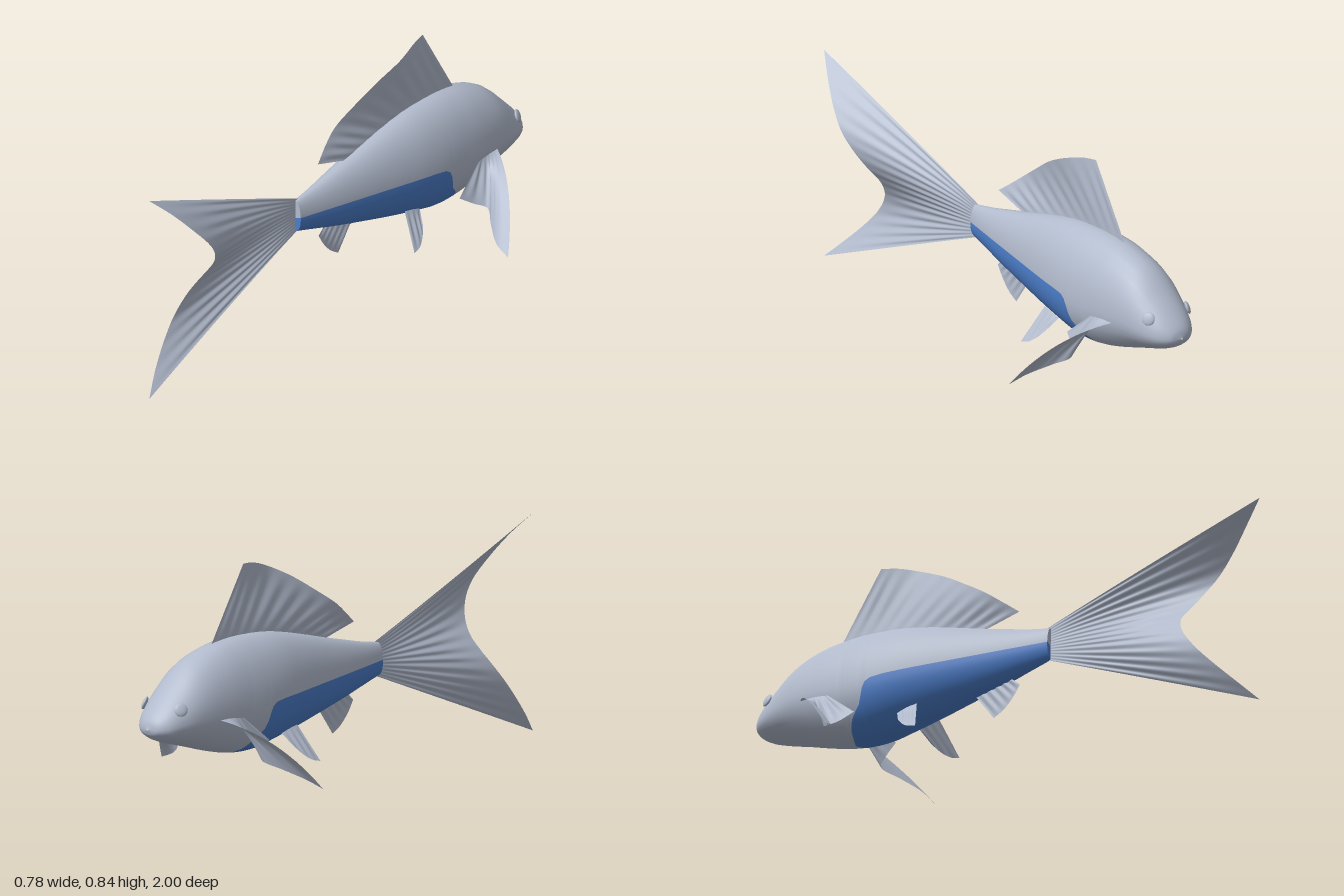
import * as THREE from 'three';

const silver = new THREE.MeshStandardMaterial({ color: 0xb2bbcd });
silver.name = 'silver grey';
const finGrey = new THREE.MeshStandardMaterial({ color: 0xb2bbcd, side: THREE.DoubleSide });
finGrey.name = 'fin grey';
const blue = new THREE.MeshStandardMaterial({ color: 0x4b7dc9 });
blue.name = 'belly blue';

const V = (x, y, z) => new THREE.Vector3(x, y, z);
const curve = pts => new THREE.CatmullRomCurve3(pts.map(p => V(...p)));

// Body stations from nose to tail: z, top, bottom, half width
const stations = [
  [-1, .322, .318, .004], [-.99, .352, .297, .042], [-.96, .39, .277, .076], [-.9, .45, .256, .104],
  [-.81, .528, .23, .124], [-.7, .571, .198, .135], [-.6, .586, .177, .138], [-.5, .587, .175, .137],
  [-.4, .58, .193, .128], [-.3, .562, .213, .112], [-.2, .538, .236, .094], [-.1, .512, .26, .076],
  [0, .488, .285, .058], [.09, .467, .31, .041], [.175, .452, .333, .025]
];
const heights = curve(stations.map(([z, t, b]) => [z, t, b]));
const widths = curve(stations.map(s => [s[3], 0, s[0]]));

// Upper edge of the blue belly along the body: z, y
const bellyEdge = [[-.62, .15], [-.57, .23], [-.53, .27], [-.518, .3], [-.505, .345], [-.48, .36],
  [-.43, .366], [-.3, .372], [.2, .392]];
function bellyHeight(z) {
  for (let i = 1; i < bellyEdge.length; i++) {
    const [z0, y0] = bellyEdge[i - 1], [z1, y1] = bellyEdge[i];
    if (z <= z1) return y0 + (y1 - y0) * (z - z0) / (z1 - z0);
  }
  return .392;
}

// Egg-shaped rings whose columns follow the colour edge
function makeBody() {
  const rows = 140, n = 28, cols = 2 * n, pos = [], upper = [], lower = [];
  const ring = (u, scale) => {
    const { x: z, y: top, z: bottom } = heights.getPoint(u);
    const w = widths.getPoint(u).x;
    const mid = bottom + (top - bottom) * .42;
    const rel = bellyHeight(z) - mid;
    const s = z < -.62 ? -1 : rel / (rel > 0 ? top - mid : mid - bottom);
    const edge = Math.asin(THREE.MathUtils.clamp(s, -.9995, .9));
    for (let j = 0; j < cols; j++) {
      const a = j < n ? edge + (Math.PI - 2 * edge) * j / n
        : Math.PI - edge + (Math.PI + 2 * edge) * (j - n) / n;
      const sy = Math.sin(a);
      pos.push(w * Math.cos(a) * scale, mid + sy * (sy > 0 ? top - mid : mid - bottom) * scale, z);
    }
    return z;
  };
  const zs = [];
  for (let i = 0; i <= rows; i++) zs.push(ring(i / rows, 1));
  // Closed ends
  zs.push(ring(1, 1), ring(1, 0));
  for (let i = 0; i < zs.length - 1; i++) {
    if (i === rows) continue;
    for (let j = 0; j < cols; j++) {
      const a = i * cols + j, b = i * cols + (j + 1) % cols;
      (j >= n && zs[i] > -.615 ? lower : upper).push(a, b, a + cols, b, b + cols, a + cols);
    }
  }
  const g = new THREE.BufferGeometry();
  g.setAttribute('position', new THREE.Float32BufferAttribute(pos, 3));
  g.setIndex([...upper, ...lower]);
  g.addGroup(0, upper.length, 0);
  g.addGroup(upper.length, lower.length, 1);
  g.computeVertexNormals();
  return new THREE.Mesh(g, [silver, blue]);
}

// Fin of curved rays from a root line to an outer edge, lightly pleated.
// bend(u, point) may move the middle of each ray; power delays the sideways sweep.
function makeFin(name, rootPts, edgePts, { bend, power = 1, pleats = 0, rays = 64 } = {}) {
  const root = curve(rootPts), edge = curve(edgePts), steps = 14, pos = [], index = [];
  for (let i = 0; i <= rays; i++) {
    const u = i / rays, a = root.getPoint(u), b = edge.getPoint(u);
    const c = a.clone().lerp(b, .5);
    if (bend) bend(u, c);
    for (let k = 0; k <= steps; k++) {
      const t = k / steps, p = new THREE.QuadraticBezierCurve3(a, c, b).getPoint(t);
      if (power !== 1) p.x = a.x + (b.x - a.x) * t ** power;
      p.x += .0025 * Math.sin(u * pleats * Math.PI * 2) * Math.sin(t * Math.PI);
      pos.push(p.x, p.y, p.z);
      if (i < rays && k < steps) {
        const q = i * (steps + 1) + k, r = q + steps + 1;
        index.push(q, r, q + 1, r, r + 1, q + 1);
      }
    }
  }
  const g = new THREE.BufferGeometry();
  g.setAttribute('position', new THREE.Float32BufferAttribute(pos, 3));
  g.setIndex(index);
  g.computeVertexNormals();
  const m = new THREE.Mesh(g, finGrey);
  m.name = name;
  return m;
}

export function createModel() {
  const fish = new THREE.Group();
  fish.name = 'fish';
  const body = makeBody();
  body.name = 'body';
  fish.add(body);

  // Forked tail with an S-shaped sweep
  fish.add(makeFin('tailFin',
    [[0, .455, .16], [0, .395, .165], [0, .333, .16]],
    [[.033, .78, 1], [.075, .71, .925], [.108, .63, .85], [.122, .56, .785], [.108, .5, .735], [.075, .44, .7],
      [.035, .39, .685], [0, .34, .7], [-.025, .29, .73], [-.038, .22, .785], [-.028, .15, .85],
      [-.003, .075, .925], [.033, 0, 1]],
    { power: 1.5, pleats: 14, rays: 112 }));

  // Tall wavy back fin
  fish.add(makeFin('dorsalFin',
    [[0, .572, -.675], [0, .58, -.56], [0, .575, -.45], [0, .555, -.33], [0, .53, -.21], [0, .505, -.1]],
    [[0, .84, -.51], [.012, .833, -.45], [.026, .805, -.36], [.01, .755, -.255], [-.012, .695, -.16],
      [-.028, .635, -.07], [-.02, .59, -.01], [-.003, .545, .05]],
    { power: 1.3, pleats: 10 }));

  // Small fin under the tail
  fish.add(makeFin('analFin',
    [[0, .275, -.14], [0, .3, -.07], [0, .31, 0]],
    [[0, .158, -.055], [0, .185, -.012], [0, .225, .025], [0, .265, .05]],
    { pleats: 5, rays: 32 }));

  // Paired fins and eyes
  for (const side of [1, -1]) {
    const label = side > 0 ? 'left' : 'right';
    const mirror = pts => pts.map(([x, y, z]) => [x * side, y, z]);
    fish.add(makeFin(label + 'PectoralFin',
      mirror([[.125, .337, -.765], [.133, .336, -.71], [.135, .33, -.65]]),
      mirror([[.39, .09, -.515], [.325, .115, -.53], [.255, .15, -.58], [.2, .18, -.625], [.17, .2, -.59],
        [.148, .235, -.535]]),
      { bend: (u, c) => c.add(V(.047 * side, .075, -.012).multiplyScalar((1 - u) ** 2)), pleats: 6, rays: 40 }));
    fish.add(makeFin(label + 'PelvicFin',
      mirror([[.08, .245, -.32], [.082, .238, -.36], [.08, .226, -.4]]),
      mirror([[.157, .12, -.283], [.153, .128, -.315], [.14, .147, -.345], [.118, .18, -.375]]),
      { pleats: 3, rays: 24 }));

    // Eye: a flat dome lying on the head
    const eye = new THREE.Mesh(new THREE.SphereGeometry(.024, 24, 16), silver);
    eye.name = label + 'Eye';
    eye.scale.z = .35;
    eye.position.set(.087 * side, .392, -.92);
    eye.lookAt(V(.087 * side + side * .8, .392 + .35, -.92 - .5));
    fish.add(eye);
  }
  return fish;
}
